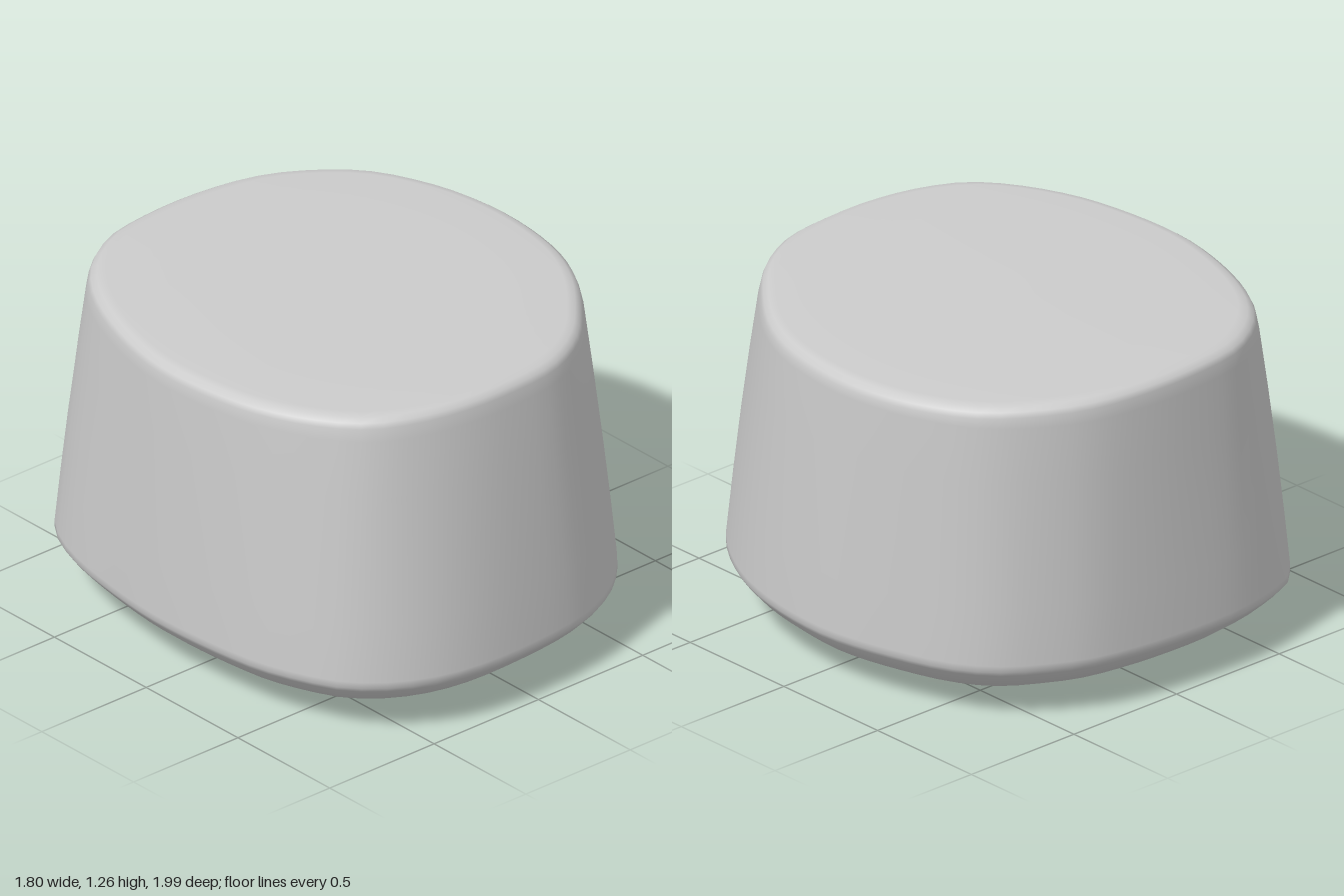
import * as THREE from 'three';

const SEGMENTS = 72;

// Outline control points (x, z), running once around the body
const BASE = [
  [-0.15, 0.995], [0.18, 0.97], [0.32, 0.935], [0.47, 0.86], [0.61, 0.74], [0.73, 0.58],
  [0.82, 0.4], [0.875, 0.2], [0.9, -0.06], [0.885, -0.21], [0.84, -0.4], [0.76, -0.62],
  [0.65, -0.77], [0.5, -0.87], [0.35, -0.94], [0.11, -0.985], [-0.15, -1], [-0.34, -0.99],
  [-0.52, -0.95], [-0.64, -0.9], [-0.74, -0.79], [-0.82, -0.61], [-0.87, -0.37], [-0.9, -0.1],
  [-0.89, 0.2], [-0.855, 0.45], [-0.8, 0.61], [-0.73, 0.75], [-0.62, 0.86], [-0.5, 0.93], [-0.36, 0.975],
];
const TOP = [
  [-0.05, 0.885], [0.21, 0.855], [0.42, 0.745], [0.58, 0.585], [0.72, 0.4], [0.81, 0.2],
  [0.855, -0.08], [0.84, -0.32], [0.785, -0.51], [0.68, -0.7], [0.53, -0.83], [0.345, -0.925],
  [0.08, -0.97], [-0.18, -0.965], [-0.37, -0.93], [-0.54, -0.83], [-0.66, -0.7], [-0.765, -0.5],
  [-0.845, -0.24], [-0.87, -0.05], [-0.855, 0.19], [-0.81, 0.4], [-0.71, 0.61], [-0.58, 0.76],
  [-0.395, 0.845], [-0.21, 0.88],
];

// Radius of a smooth closed outline at evenly spaced angles
function radii(outline) {
  const curve = new THREE.CatmullRomCurve3(outline.map(([x, z]) => new THREE.Vector3(x, 0, z)), true);
  const polar = curve.getPoints(1500).map(p => [Math.atan2(p.x, p.z), Math.hypot(p.x, p.z)]);
  return Array.from({ length: SEGMENTS }, (_, i) => {
    const a = (i / SEGMENTS) * Math.PI * 2;
    let best = 9, radius = 1;
    for (const [b, r] of polar) {
      const gap = 1 - Math.cos(a - b);
      if (gap < best) { best = gap; radius = r; }
    }
    return radius;
  });
}

export function createModel() {
  const group = new THREE.Group();
  const base = radii(BASE), top = radii(TOP);

  // Rings from underside to top: [height, blend from base to top outline, scale]
  const rings = [
    [0.027, 0, 0.35], [0.053, 0, 0.70], [0.06, 0, 0.76], [0.078, 0, 0.83], [0.105, 0, 0.885],
    [0.15, 0, 0.945], [0.19, 0, 0.984], [0.21, 0, 0.998], [0.235, 0.02, 1],
    [0.45, 0.2, 1], [0.7, 0.43, 1], [0.95, 0.69, 1], [1.17, 0.94, 1],
    [1.21, 1, 0.998], [1.23, 1, 0.988], [1.244, 1, 0.965], [1.25, 1, 0.93],
    [1.252, 1, 0.7], [1.252, 1, 0.35],
  ];
  const positions = [0, 0, 0], index = [];
  for (const [y, blend, scale] of rings) {
    for (let i = 0; i < SEGMENTS; i++) {
      const a = (i / SEGMENTS) * Math.PI * 2;
      const r = THREE.MathUtils.lerp(base[i], top[i], blend) * scale;
      const x = Math.sin(a) * r, z = Math.cos(a) * r;
      // The top face is slightly tilted and warped
      const warp = y > 1.2 ? -0.008 * x + 0.012 * z * z - 0.008 * x * x : 0;
      positions.push(x, y + warp, z);
    }
  }
  positions.push(0, 1.252, 0);

  // Side quads, then fans closing the underside and the top
  const last = 1 + rings.length * SEGMENTS;
  for (let i = 0; i < SEGMENTS; i++) {
    const j = (i + 1) % SEGMENTS;
    index.push(0, 1 + j, 1 + i);
    for (let k = 0; k < rings.length - 1; k++) {
      const a = 1 + k * SEGMENTS, b = a + SEGMENTS;
      index.push(a + i, a + j, b + j, a + i, b + j, b + i);
    }
    index.push(last, last - SEGMENTS + i, last - SEGMENTS + j);
  }

  const geometry = new THREE.BufferGeometry();
  geometry.setAttribute('position', new THREE.Float32BufferAttribute(positions, 3));
  geometry.setIndex(index);
  geometry.computeVertexNormals();

  const body = new THREE.Mesh(geometry, new THREE.MeshStandardMaterial({ color: 0xcccccc }));
  body.name = 'body';
  group.add(body);
  return group;
}
